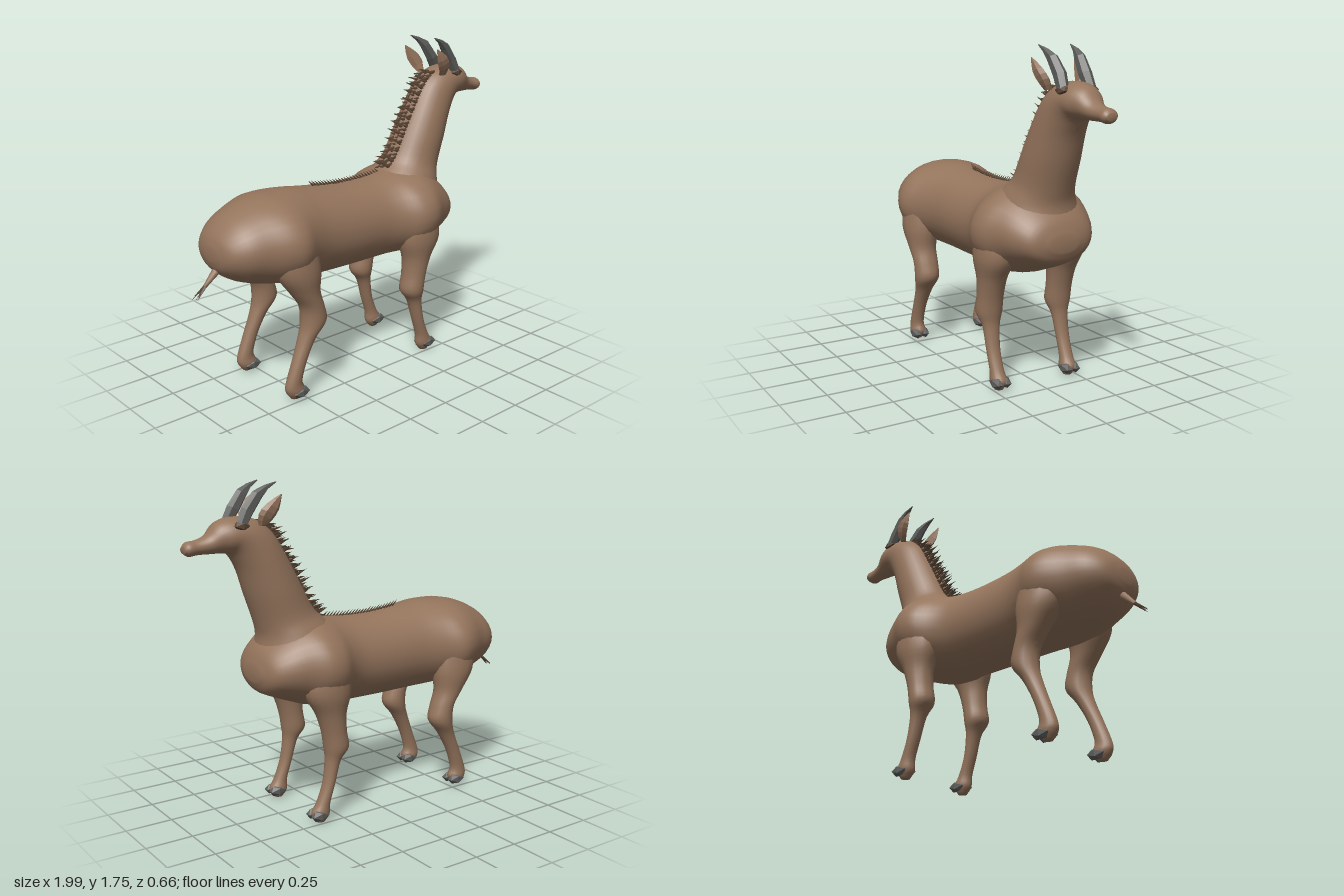
import * as THREE from 'three';
import { mergeGeometries } from 'three/addons/utils/BufferGeometryUtils.js';

// Skin through rings. Each section is [ax, ay, bx, by, halfWidth, zCentre]:
// a ring whose profile spans A to B in the xy plane and halfWidth either way in z.
function loft(sections, sides = 24, steps = 4, flat = false) {
  const curve = (f) => new THREE.CatmullRomCurve3(sections.map(f), false, 'catmullrom', 0.5);
  const ca = curve((s) => new THREE.Vector3(s[0], s[1], s[4]));
  const cb = curve((s) => new THREE.Vector3(s[2], s[3], s[5] || 0));
  const rings = (sections.length - 1) * steps;
  const pos = [], index = [];
  const at = (i, j) => i * sides + (j % sides);
  const centres = [];
  for (let i = 0; i <= rings; i++) {
    const a = ca.getPoint(i / rings), b = cb.getPoint(i / rings);
    const cx = (a.x + b.x) / 2, cy = (a.y + b.y) / 2;
    centres.push([cx, cy, b.z]);
    for (let j = 0; j < sides; j++) {
      const t = (j / sides) * Math.PI * 2, c = Math.cos(t);
      pos.push(cx + (c * (b.x - a.x)) / 2, cy + (c * (b.y - a.y)) / 2, b.z + Math.sin(t) * a.z);
      if (i < rings) {
        index.push(at(i, j), at(i, j + 1), at(i + 1, j + 1), at(i, j), at(i + 1, j + 1), at(i + 1, j));
      }
    }
  }
  // end caps
  const first = pos.length / 3;
  pos.push(...centres[0], ...centres[rings]);
  for (let j = 0; j < sides; j++) {
    index.push(first, at(0, j + 1), at(0, j), first + 1, at(rings, j), at(rings, j + 1));
  }
  let g = new THREE.BufferGeometry();
  g.setAttribute('position', new THREE.Float32BufferAttribute(pos, 3));
  g.setIndex(index);
  if (flat) g = g.toNonIndexed();
  g.computeVertexNormals();
  return g;
}

// Thin hair spike from a base point along a direction
function spike(base, dir, length, radius) {
  const g = new THREE.ConeGeometry(radius, length, 4).translate(0, length / 2, 0);
  const q = new THREE.Quaternion().setFromUnitVectors(new THREE.Vector3(0, 1, 0), dir.clone().normalize());
  return g.applyQuaternion(q).translate(base.x, base.y, base.z);
}

export function createModel() {
  const model = new THREE.Group();
  const coat = new THREE.MeshStandardMaterial({ color: 0x94745c });
  coat.name = 'brown coat';
  const hair = new THREE.MeshStandardMaterial({ color: 0x5a4636 });
  hair.name = 'dark hair';
  const horn = new THREE.MeshStandardMaterial({ color: 0x5e5e5c });
  horn.name = 'grey horn';

  const add = (name, geometry, material) => {
    const mesh = new THREE.Mesh(geometry, material);
    mesh.name = name;
    model.add(mesh);
    return mesh;
  };

  // Torso, rump to chest
  add('torso', loft([
    [-0.895, 0.79, -0.895, 0.86, 0.05],
    [-0.87, 0.73, -0.87, 0.92, 0.14],
    [-0.8, 0.675, -0.8, 0.99, 0.21],
    [-0.7, 0.635, -0.7, 1.04, 0.255],
    [-0.6, 0.615, -0.6, 1.065, 0.305],
    [-0.52, 0.6, -0.52, 1.07, 0.315],
    [-0.42, 0.59, -0.42, 1.07, 0.27],
    [-0.3, 0.585, -0.3, 1.055, 0.24],
    [-0.1, 0.58, -0.1, 1.035, 0.232],
    [0.08, 0.58, 0.08, 1.035, 0.235],
    [0.18, 0.585, 0.18, 1.045, 0.265],
    [0.27, 0.59, 0.27, 1.06, 0.32],
    [0.36, 0.6, 0.36, 1.07, 0.325],
    [0.45, 0.63, 0.45, 1.05, 0.28],
    [0.54, 0.665, 0.54, 0.99, 0.235],
    [0.61, 0.7, 0.61, 0.92, 0.175],
    [0.642, 0.76, 0.642, 0.84, 0.08],
  ], 32), coat);

  // Neck flowing into head and muzzle
  add('neckAndHead', loft([
    [0.6, 0.9, 0.16, 1.0, 0.22],
    [0.59, 0.98, 0.24, 1.06, 0.185],
    [0.61, 1.06, 0.3, 1.12, 0.155],
    [0.66, 1.2, 0.37, 1.25, 0.145],
    [0.7, 1.32, 0.44, 1.38, 0.133],
    [0.74, 1.39, 0.52, 1.51, 0.12],
    [0.765, 1.415, 0.62, 1.58, 0.11],
    [0.785, 1.418, 0.74, 1.592, 0.1],
    [0.81, 1.42, 0.82, 1.568, 0.08],
    [0.86, 1.42, 0.87, 1.515, 0.056],
    [0.92, 1.42, 0.925, 1.492, 0.042],
    [0.965, 1.415, 0.972, 1.485, 0.044],
    [0.99, 1.43, 0.992, 1.465, 0.028],
  ], 28), coat);

  // Leg rings, back edge then front edge, from hip or shoulder to foot
  const frontLeg = [
    [0.2, 0.84, 0.44, 0.84, 0.1, 0.2],
    [0.19, 0.7, 0.45, 0.7, 0.1, 0.21],
    [0.22, 0.59, 0.39, 0.59, 0.078, 0.213],
    [0.22, 0.49, 0.355, 0.49, 0.071, 0.213],
    [0.208, 0.4, 0.34, 0.4, 0.07, 0.213],
    [0.255, 0.33, 0.335, 0.33, 0.047, 0.213],
    [0.29, 0.21, 0.355, 0.21, 0.038, 0.216],
    [0.32, 0.11, 0.395, 0.11, 0.037, 0.216],
    [0.323, 0.05, 0.425, 0.06, 0.042, 0.214],
    [0.35, 0.01, 0.4, 0.012, 0.022, 0.214],
  ];
  const hindLeg = [
    [-0.66, 0.84, -0.4, 0.84, 0.1, 0.19],
    [-0.64, 0.7, -0.39, 0.7, 0.1, 0.205],
    [-0.565, 0.59, -0.4, 0.59, 0.078, 0.213],
    [-0.505, 0.5, -0.375, 0.5, 0.071, 0.213],
    [-0.5, 0.4, -0.36, 0.42, 0.068, 0.213],
    [-0.525, 0.32, -0.42, 0.34, 0.048, 0.213],
    [-0.565, 0.22, -0.48, 0.23, 0.038, 0.216],
    [-0.61, 0.1, -0.515, 0.12, 0.037, 0.216],
    [-0.605, 0.055, -0.5, 0.065, 0.042, 0.214],
    [-0.58, 0.02, -0.53, 0.02, 0.022, 0.214],
  ];

  for (const side of [1, -1]) {
    const label = side > 0 ? 'Near' : 'Far';
    const mirror = (rows) => rows.map((s) => [...s.slice(0, 5), s[5] * side]);
    add('frontLeg' + label, loft(mirror(frontLeg), 18), coat);
    add('hindLeg' + label, loft(mirror(hindLeg), 18), coat);

    // Cloven hooves
    for (const [name, x] of [['frontHoof', 0.39], ['hindHoof', -0.535]]) {
      for (const dz of [-0.025, 0.025]) {
        const toe = new THREE.IcosahedronGeometry(1, 0).scale(0.056, 0.032, 0.027);
        add(name + label, toe.translate(x, 0.052, side * 0.214 + dz), horn);
      }
    }

    // Backswept horn with a collar at the root
    add('horn' + label, loft(mirror([
      [0.75, 1.56, 0.69, 1.55, 0.028, 0.078],
      [0.715, 1.64, 0.65, 1.61, 0.032, 0.072],
      [0.655, 1.715, 0.605, 1.68, 0.026, 0.078],
      [0.595, 1.742, 0.575, 1.722, 0.016, 0.086],
      [0.535, 1.758, 0.53, 1.754, 0.002, 0.092],
    ]), 6, 1, true), horn);
    const collar = new THREE.IcosahedronGeometry(1, 0).scale(0.045, 0.026, 0.035);
    add('hornCollar' + label, collar.translate(0.72, 1.552, side * 0.08), hair);

    // Leaf-shaped ear
    add('ear' + label, loft(mirror([
      [0.63, 1.55, 0.59, 1.545, 0.018, 0.085],
      [0.64, 1.605, 0.565, 1.575, 0.022, 0.105],
      [0.605, 1.655, 0.535, 1.625, 0.02, 0.12],
      [0.525, 1.7, 0.52, 1.695, 0.002, 0.125],
    ]), 6, 2, true), coat);
  }

  // Upright mane: three rows of short spikes down the nape
  const nape = new THREE.CatmullRomCurve3([
    [0.25, 1.06], [0.31, 1.12], [0.38, 1.25], [0.45, 1.38], [0.53, 1.51], [0.6, 1.57],
  ].map(([x, y]) => new THREE.Vector3(x, y, 0)));
  const mane = [];
  for (let i = 0; i < 42; i++) {
    for (const row of [-1, 0, 1]) {
      const p = nape.getPointAt((i + 0.3 * (row + 1)) / 43);
      p.x += 0.015;
      p.z = row * 0.032;
      const length = 0.07 + 0.018 * Math.sin(i * 2.3 + row * 1.7);
      mane.push(spike(p, new THREE.Vector3(-1, 0.2 + 0.25 * Math.sin(i * 1.9 + row), row * 0.08), length, 0.012));
    }
  }
  add('mane', mergeGeometries(mane), hair);

  // Fine ridge of hair along the back
  const ridge = [];
  for (let i = 0; i < 24; i++) {
    const x = -0.25 + i * 0.02;
    const y = 1.03 + 0.3 * (x - 0.02) ** 2;
    ridge.push(spike(new THREE.Vector3(x, y, 0), new THREE.Vector3(-0.8, 0.75, 0), 0.045, 0.007));
  }
  add('backRidge', mergeGeometries(ridge), hair);

  // Tail and its tuft
  add('tail', loft([
    [-0.84, 0.79, -0.84, 0.72, 0.026],
    [-0.89, 0.73, -0.87, 0.7, 0.018],
    [-0.938, 0.672, -0.922, 0.66, 0.01],
  ], 8, 2), coat);
  const tuft = [];
  for (let i = 0; i < 7; i++) {
    const a = i * 2.4;
    const dir = new THREE.Vector3(-0.8, -0.72 + 0.12 * Math.sin(a), 0.25 * Math.cos(a));
    tuft.push(spike(new THREE.Vector3(-0.92, 0.675, 0), dir, 0.085 + 0.003 * i, 0.009));
  }
  add('tailTuft', mergeGeometries(tuft), hair);

  return model;
}
